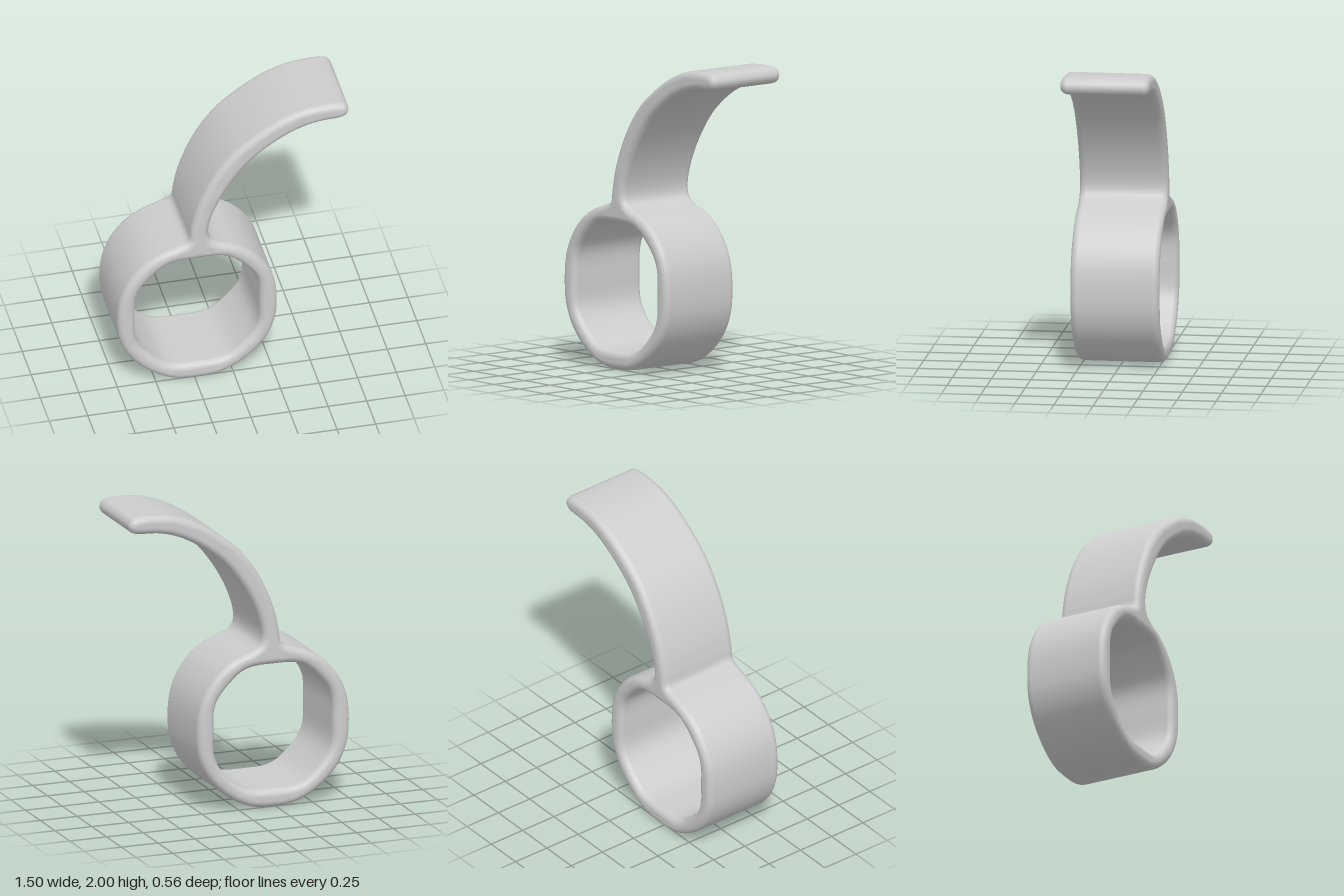
import * as THREE from 'three';
import { mergeVertices } from 'three/addons/utils/BufferGeometryUtils.js';

const CX = -0.2325; // ring axis

// Smooth closed loop through a few profile points
function smoothLoop(points, perSpan) {
  const curve = new THREE.CatmullRomCurve3(
    points.map(([x, y]) => new THREE.Vector3(x, y, 0)), true, 'centripetal');
  return curve.getPoints(points.length * perSpan).slice(0, -1)
    .map((p) => new THREE.Vector2(p.x, p.y));
}

const mirrorX = ([x, y]) => [2 * CX - x, y];
const flipY = ([x, y]) => [x, 1.06 - y];

export function createModel() {
  const group = new THREE.Group();
  group.name = 'ringHook';

  const grey = new THREE.MeshStandardMaterial({ color: 0xcccccc });
  grey.name = 'plainGrey';

  // Right half of the ring's outside, top to bottom
  const ringSide = [
    [-0.1, 1.04], [0.02, 0.995], [0.13, 0.92], [0.22, 0.805], [0.27, 0.68],
    [0.285, 0.52], [0.27, 0.37], [0.21, 0.235], [0.11, 0.125], [0, 0.05], [-0.1, 0.012],
  ];

  // Curved arm, up its outer edge, round the tip and back down its inner edge
  const arm = [
    [-0.29, 1.07], [-0.275, 1.15], [-0.25, 1.27], [-0.2, 1.41], [-0.12, 1.565],
    [0, 1.72], [0.15, 1.84], [0.3, 1.93], [0.45, 1.985], [0.56, 2],
    [0.69, 2], [0.732, 1.984], [0.75, 1.945], [0.732, 1.906], [0.69, 1.89],
    [0.56, 1.882], [0.43, 1.85], [0.28, 1.775], [0.12, 1.655], [0.02, 1.54],
    [-0.07, 1.4], [-0.13, 1.27], [-0.16, 1.15], [-0.15, 1.08],
  ];

  const outline = [
    ...arm, ...ringSide, [CX, 0.002], ...ringSide.map(mirrorX).reverse(),
  ];

  // Finger hole: a rounded octagon, mirrored from one quarter
  const quarter = [
    [0.168, 0.39], [0.14, 0.31], [0.065, 0.22], [-0.02, 0.15], [-0.1, 0.124],
  ];
  const side = [0.171, 0.53];
  const lower = [...quarter, [CX, 0.12], ...quarter.map(mirrorX).reverse()];
  const hole = [side, ...lower, mirrorX(side), ...lower.map(flipY).reverse()];

  // The hole runs counter to the clockwise outline
  const shape = new THREE.Shape(smoothLoop(outline, 3));
  shape.holes.push(new THREE.Path(smoothLoop(hole.reverse(), 3)));

  // One band with rounded rims
  const bevel = 0.045;
  const inset = 0.042;
  const depth = 0.565 - 2 * bevel;
  let geometry = new THREE.ExtrudeGeometry(shape, {
    depth, bevelEnabled: true, bevelThickness: bevel, bevelSize: inset,
    bevelOffset: -inset, bevelSegments: 5, steps: 1,
  });
  geometry.translate(0, 0, -depth / 2);

  // Weld the faces for smooth shading
  geometry.deleteAttribute('normal');
  geometry.deleteAttribute('uv');
  geometry.clearGroups();
  geometry = mergeVertices(geometry, 1e-4);
  geometry.computeVertexNormals();

  const band = new THREE.Mesh(geometry, grey);
  band.name = 'ringAndCurvedArm';
  group.add(band);
  return group;
}
